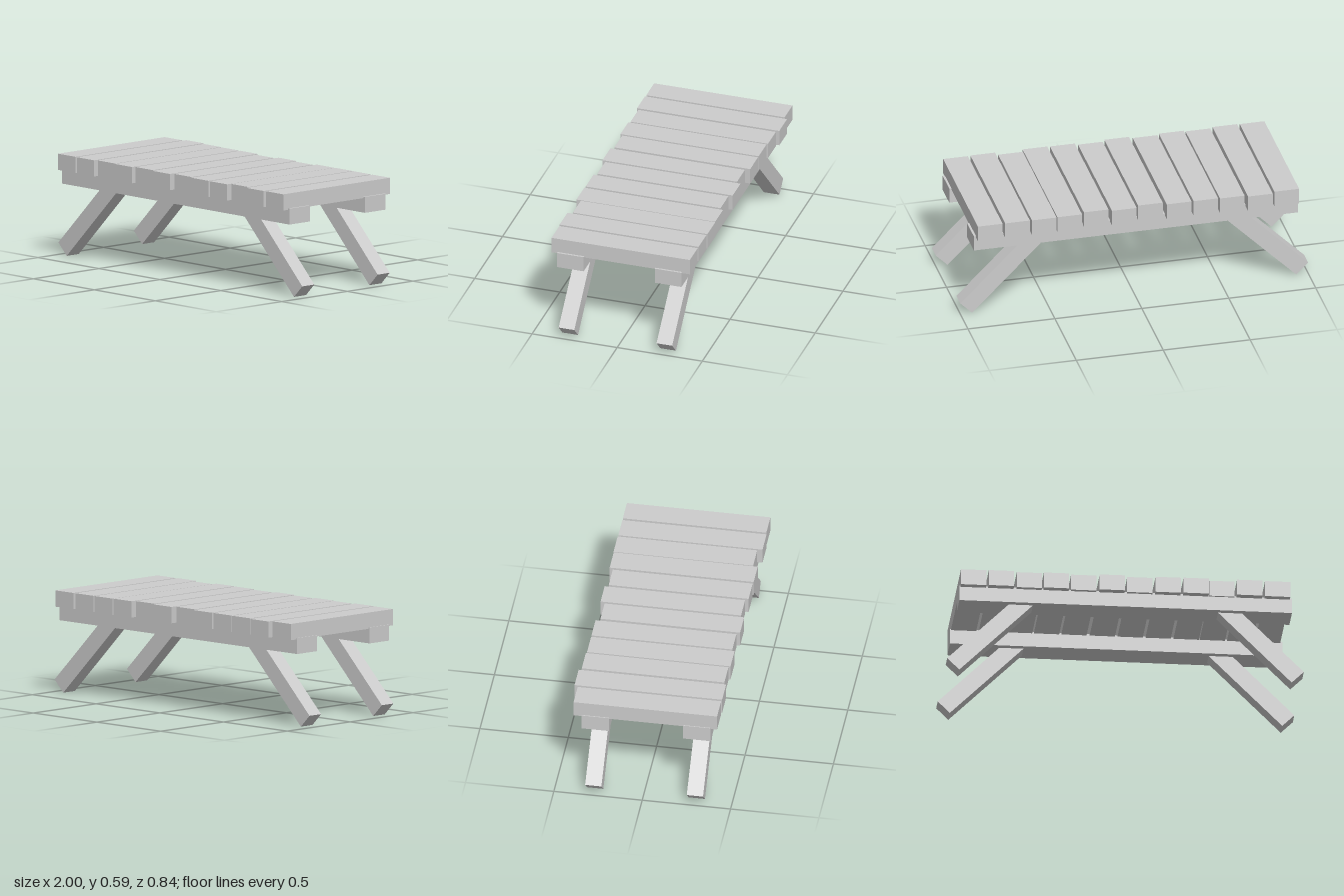
import * as THREE from 'three';

const material = new THREE.MeshStandardMaterial({ color: 0xcccccc });

function beam(name, size, position) {
  const mesh = new THREE.Mesh(new THREE.BoxGeometry(...size), material);
  mesh.name = name;
  mesh.position.set(...position);
  return mesh;
}

export function createModel() {
  const table = new THREE.Group();
  table.name = 'plankTable';

  // Top planks, sawn to slightly uneven lengths: [centre x, back z, front z]
  const planks = [
    [-0.858, -0.4, 0.412], [-0.702, -0.42, 0.415], [-0.544, -0.405, 0.402], [-0.393, -0.4, 0.412],
    [-0.239, -0.4, 0.397], [-0.08, -0.375, 0.415], [0.076, -0.4, 0.395], [0.233, -0.38, 0.412],
    [0.39, -0.4, 0.415], [0.537, -0.402, 0.388], [0.69, -0.4, 0.416], [0.847, -0.4, 0.412],
  ];
  const top = new THREE.Group();
  top.name = 'tableTop';
  planks.forEach(([x, back, front], i) => {
    top.add(beam(`plank${i + 1}`, [0.142, 0.092, front - back], [x, 0.541, (back + front) / 2]));
  });
  table.add(top);

  // Rails under the planks, each with two splayed legs let into it
  const legLength = 0.585;
  const legWidth = 0.096;
  const reach = legLength / 2 * Math.SQRT1_2;
  for (const [side, z] of [['front', 0.298], ['back', -0.277]]) {
    table.add(beam(`${side}Rail`, [1.865, 0.09, 0.157], [-0.002, 0.458, z]));
    for (const s of [1, -1]) {
      const foot = legWidth / 2 * Math.SQRT1_2;
      const leg = beam(`${side}${s > 0 ? 'Left' : 'Right'}Leg`, [legWidth, legLength, 0.092],
        [s * (1 - foot - reach), foot + reach, z]);
      leg.rotation.z = s * Math.PI / 4;
      table.add(leg);
    }
  }
  return table;
}
